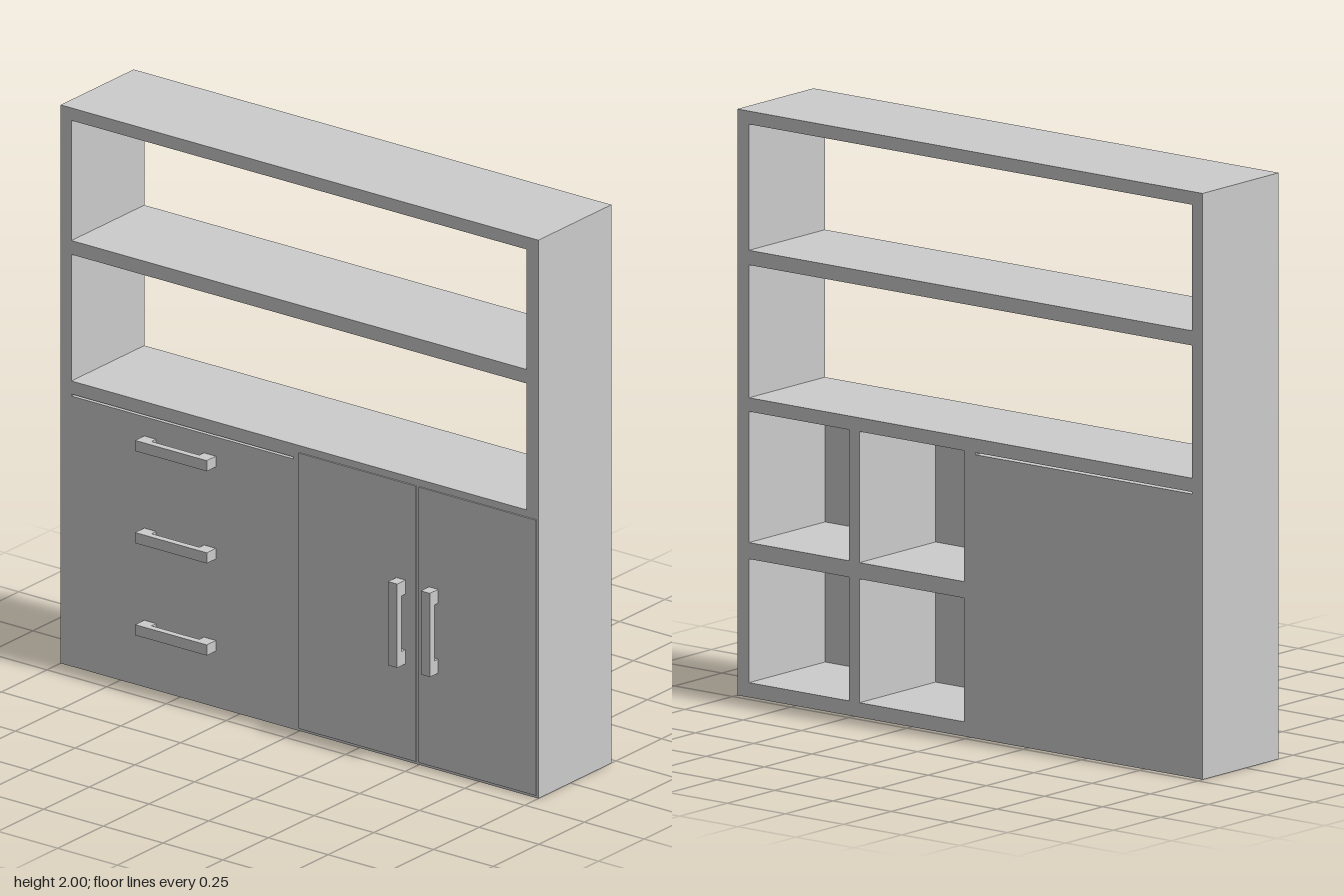
import * as THREE from 'three';

const BACK = -0.225, FRONT = 0.175;

export function createModel() {
  const group = new THREE.Group();
  const material = new THREE.MeshStandardMaterial({ color: 0xcccccc, flatShading: true });

  // Box given by its minimum and maximum on each axis
  function box(name, x0, x1, y0, y1, z0 = BACK, z1 = FRONT, parent = group) {
    const mesh = new THREE.Mesh(new THREE.BoxGeometry(x1 - x0, y1 - y0, z1 - z0), material);
    mesh.position.set((x0 + x1) / 2, (y0 + y1) / 2, (z0 + z1) / 2);
    mesh.name = name;
    parent.add(mesh);
    return mesh;
  }

  // Outer frame
  box('leftSide', 0.95, 1, 0, 2);
  box('rightSide', -1, -0.955, 0, 2);
  box('topBoard', -0.955, 0.95, 1.955, 2);
  box('bottomBoard', -0.955, 0.95, 0, 0.05);

  // Open shelves and the top of the lower cabinet
  box('upperShelf', -0.955, 0.95, 1.475, 1.525);
  box('cabinetTop', -0.955, 0.95, 0.975, 1.022);

  // Compartments behind the doors, open at the back
  box('centreDivider', -0.025, 0.025, 0.05, 0.975);
  box('compartmentDivider', 0.475, 0.52, 0.05, 0.975);
  box('innerShelfInner', 0.025, 0.475, 0.472, 0.528);
  box('innerShelfOuter', 0.52, 0.95, 0.472, 0.528);

  // Drawers, flush with the frame, with a thin slit above the top one
  const drawerEdges = [0.05, 0.31, 0.64, 0.968];
  for (let i = 0; i < 3; i++) box('drawer', -0.955, -0.025, drawerEdges[i], drawerEdges[i + 1]);

  // Thin doors laid on the front
  box('innerDoor', 0, 0.49, 0.01, 0.997, FRONT, 0.18);
  box('outerDoor', 0.503, 0.993, 0.01, 0.997, FRONT, 0.18);

  // Bracket handle: two posts joined by a bar that is flush at the front
  function handle(name, x, y, vertical) {
    const h = new THREE.Group();
    h.name = name;
    box('handlePost', -0.15, -0.1, -0.019, 0.019, FRONT, 0.225, h);
    box('handlePost', 0.1, 0.15, -0.019, 0.019, FRONT, 0.225, h);
    box('handleBar', -0.1, 0.1, -0.019, 0.019, 0.2, 0.225, h);
    h.position.set(x, y, 0);
    if (vertical) h.rotation.z = Math.PI / 2;
    group.add(h);
  }
  for (const y of [0.22, 0.55, 0.88]) handle('drawerHandle', -0.5, y, false);
  for (const x of [0.428, 0.565]) handle('doorHandle', x, 0.5, true);

  return group;
}
